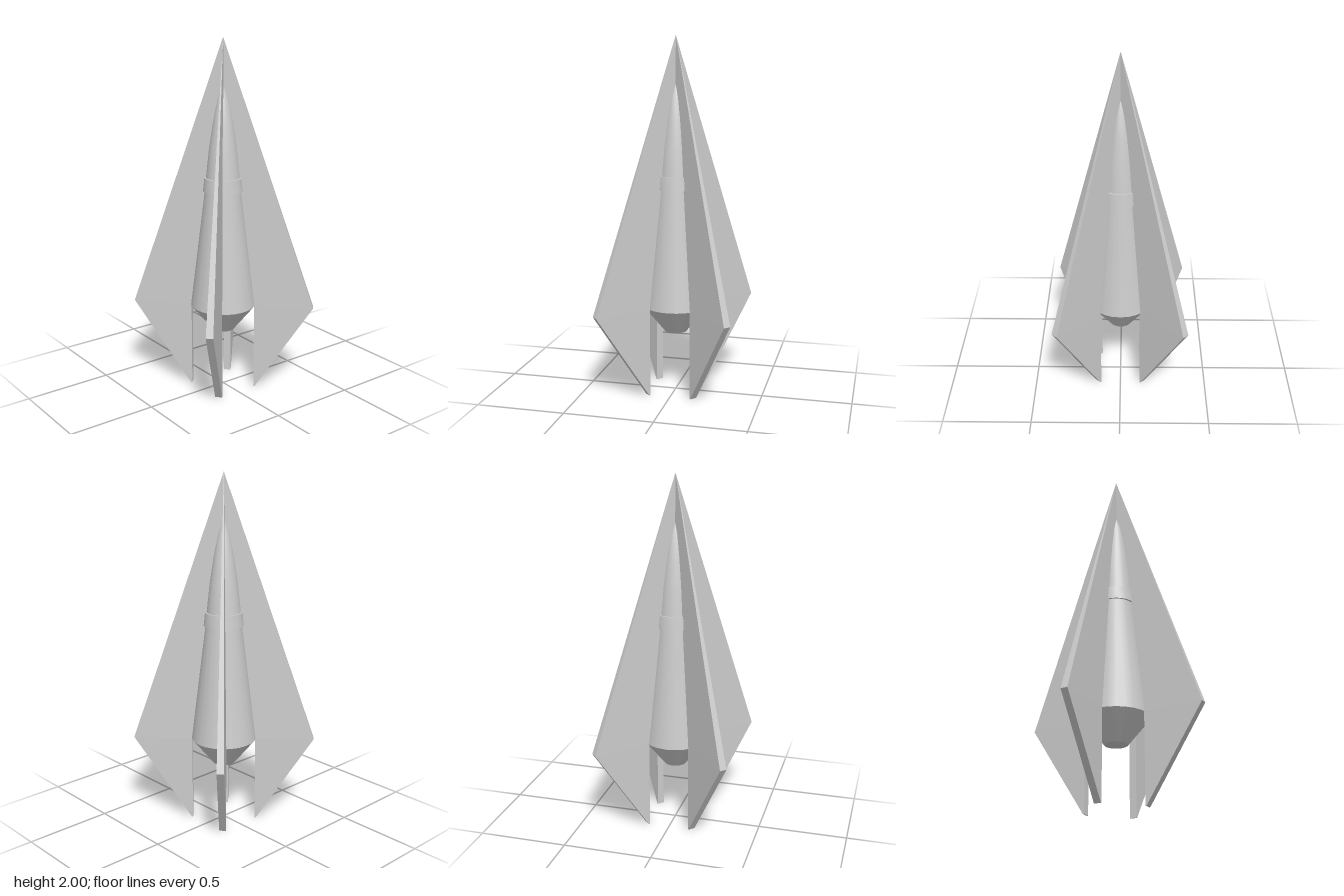
import * as THREE from 'three';
import { toCreasedNormals } from 'three/addons/utils/BufferGeometryUtils.js';

const SHOULDER = 0.5;   // height of the widest point
const TOP = 2;
const THICK = 0.04;     // fin thickness at and below the shoulder

const material = new THREE.MeshStandardMaterial({ color: 0xcccccc });

const vectors = (points) => points.map(([x, y]) => new THREE.Vector2(x, y));

function turned(name, profile) {
  const geometry = toCreasedNormals(new THREE.LatheGeometry(vectors(profile), 24), 0.45);
  const mesh = new THREE.Mesh(geometry, material);
  mesh.name = name;
  return mesh;
}

// Flat plate whose thickness shrinks to nothing at the top point
function finPlate(name, outline) {
  const geometry = new THREE.ExtrudeGeometry(new THREE.Shape(vectors(outline)), {
    depth: THICK, bevelEnabled: false,
  });
  geometry.translate(0, 0, -THICK / 2);
  const p = geometry.attributes.position;
  for (let i = 0; i < p.count; i++) {
    const taper = Math.min(1, (TOP - p.getY(i)) / (TOP - SHOULDER));
    p.setZ(i, p.getZ(i) * taper);
  }
  geometry.computeVertexNormals();
  const mesh = new THREE.Mesh(geometry, material);
  mesh.name = name;
  return mesh;
}

export function createModel() {
  const model = new THREE.Group();
  model.name = 'rocket';

  // Tapered hull, rounded nose, collar and tail cone
  model.add(
    turned('hull', [[0.184, SHOULDER], [0.102, 1.165], [0.095, 1.24]]),
    turned('nose', [[0.095, 1.24], [0.078, 1.4], [0.055, 1.55], [0.03, 1.67], [0, 1.75]]),
    turned('collar', [[0.1, 1.165], [0.112, 1.165], [0.104, 1.24], [0.093, 1.24]]),
    turned('tailCone', [[0, 0.35], [0.063, 0.35], [0.184, SHOULDER]]),
  );

  // Four fins on the diagonals, meeting at the tip
  for (let i = 0; i < 4; i++) {
    const fin = new THREE.Group();
    fin.name = `fin${i + 1}`;
    fin.add(
      finPlate('finBlade', [[0, SHOULDER], [0.513, SHOULDER], [0, TOP]]),
      finPlate('finLeg', [[0.18, 0], [0.187, 0], [0.513, SHOULDER], [0.18, SHOULDER]]),
    );
    fin.rotation.y = Math.PI / 4 + (i * Math.PI) / 2;
    model.add(fin);
  }
  return model;
}
